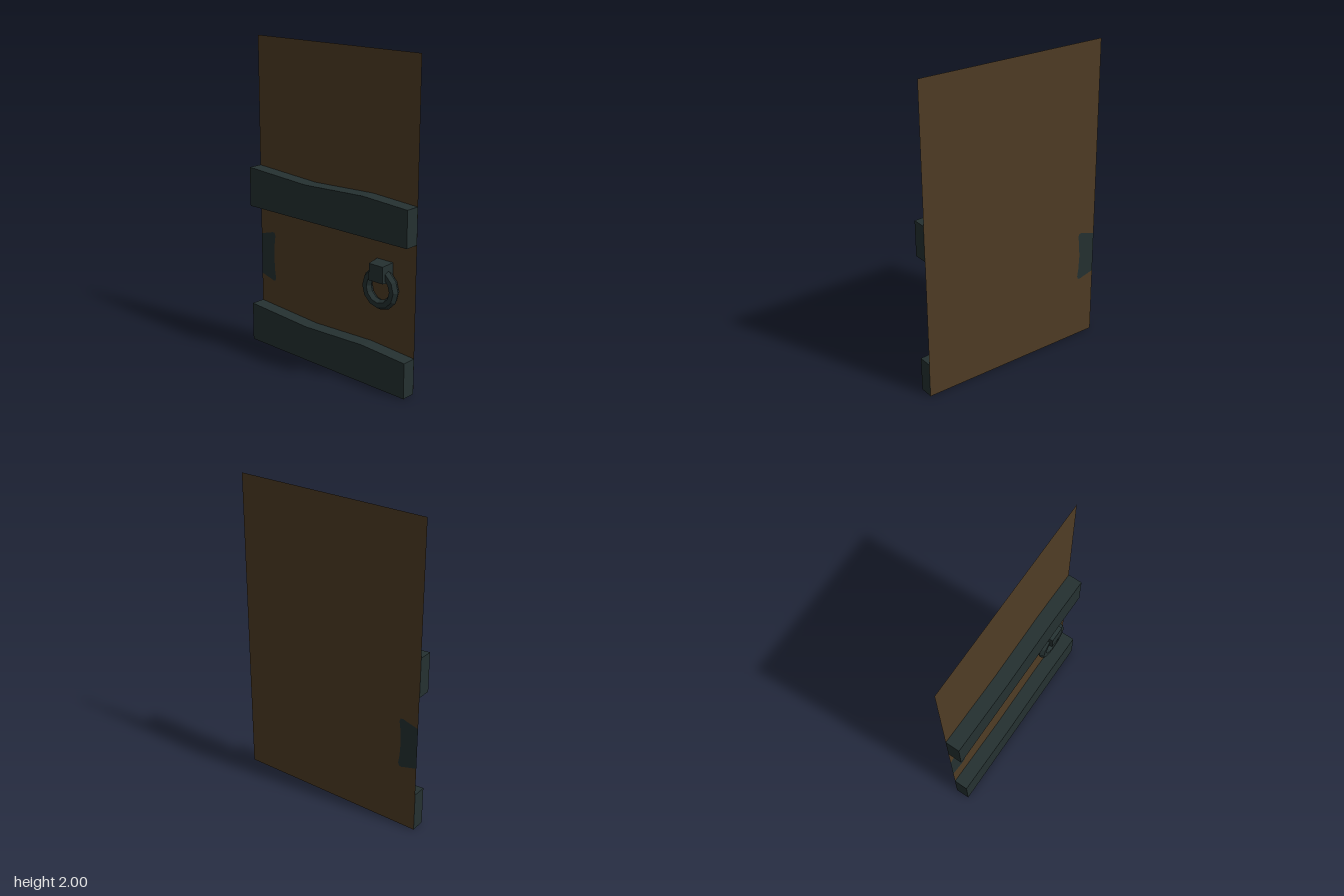
import * as THREE from 'three';

const HALF = 0.64;    // half the door width
const BACK = -0.046;  // plane of the door panel
const FRONT = 0.046;  // front of the iron bands

const wood = new THREE.MeshStandardMaterial({ color: 0x4f3c25, side: THREE.DoubleSide });
wood.name = 'dark wood';
const iron = new THREE.MeshStandardMaterial({ color: 0x253131, side: THREE.DoubleSide });
iron.name = 'dark iron';

const shapeOf = (points) => new THREE.Shape(points.map(([x, y]) => new THREE.Vector2(x, y)));

// Split shared corners so every facet is flat
function faceted(geometry) {
  const flat = geometry.index ? geometry.toNonIndexed() : geometry;
  flat.computeVertexNormals();
  return flat;
}

export function createModel() {
  const model = new THREE.Group();
  model.name = 'door';
  const add = (name, geometry, material, x = 0, y = 0, z = 0) => {
    const mesh = new THREE.Mesh(geometry, material);
    mesh.name = name;
    mesh.position.set(x, y, z);
    model.add(mesh);
    return mesh;
  };

  // Flared plate on the hinge edge, listed from bottom to top
  const plate = [
    [-HALF, 0.443], [-0.535, 0.415], [-0.52, 0.417], [-0.512, 0.435], [-0.52, 0.49],
    [-0.525, 0.58], [-0.52, 0.67], [-0.512, 0.725], [-0.52, 0.744], [-0.535, 0.746], [-HALF, 0.716],
  ];
  add('edgePlate', new THREE.ShapeGeometry(shapeOf(plate)), iron, 0, 0, BACK);

  // Thin wooden panel, notched so the plate lies flush in it
  const panel = [[-HALF, 0], [HALF, 0], [HALF, 2], [-HALF, 2], ...[...plate].reverse()];
  add('woodPanel', new THREE.ShapeGeometry(shapeOf(panel)), wood, 0, 0, BACK);

  // Iron bands with an uneven upper edge
  const band = shapeOf([
    [-HALF, 0], [HALF, 0], [HALF, 0.225], [0.31, 0.244], [-0.15, 0.226], [-HALF, 0.254],
  ]);
  const depth = FRONT - BACK - 0.001;
  const bandGeometry = new THREE.ExtrudeGeometry(band, { depth, bevelEnabled: false });
  add('lowerBand', bandGeometry, iron, 0, 0, BACK + 0.001);
  add('upperBand', bandGeometry, iron, 0, 0.922, BACK + 0.001);

  // Tapered square mount holding the ring
  const mount = new THREE.CylinderGeometry(0.052 * Math.SQRT2, 0.061 * Math.SQRT2, 0.084, 4, 1, false, Math.PI / 4);
  mount.rotateX(Math.PI / 2);
  add('ringMount', faceted(mount), iron, 0.41, 0.718, -0.002);

  // Pull ring with a six-sided section
  add('pullRing', faceted(new THREE.TorusGeometry(0.102, 0.031, 6, 12)), iron, 0.41, 0.617, -0.006);

  return model;
}
